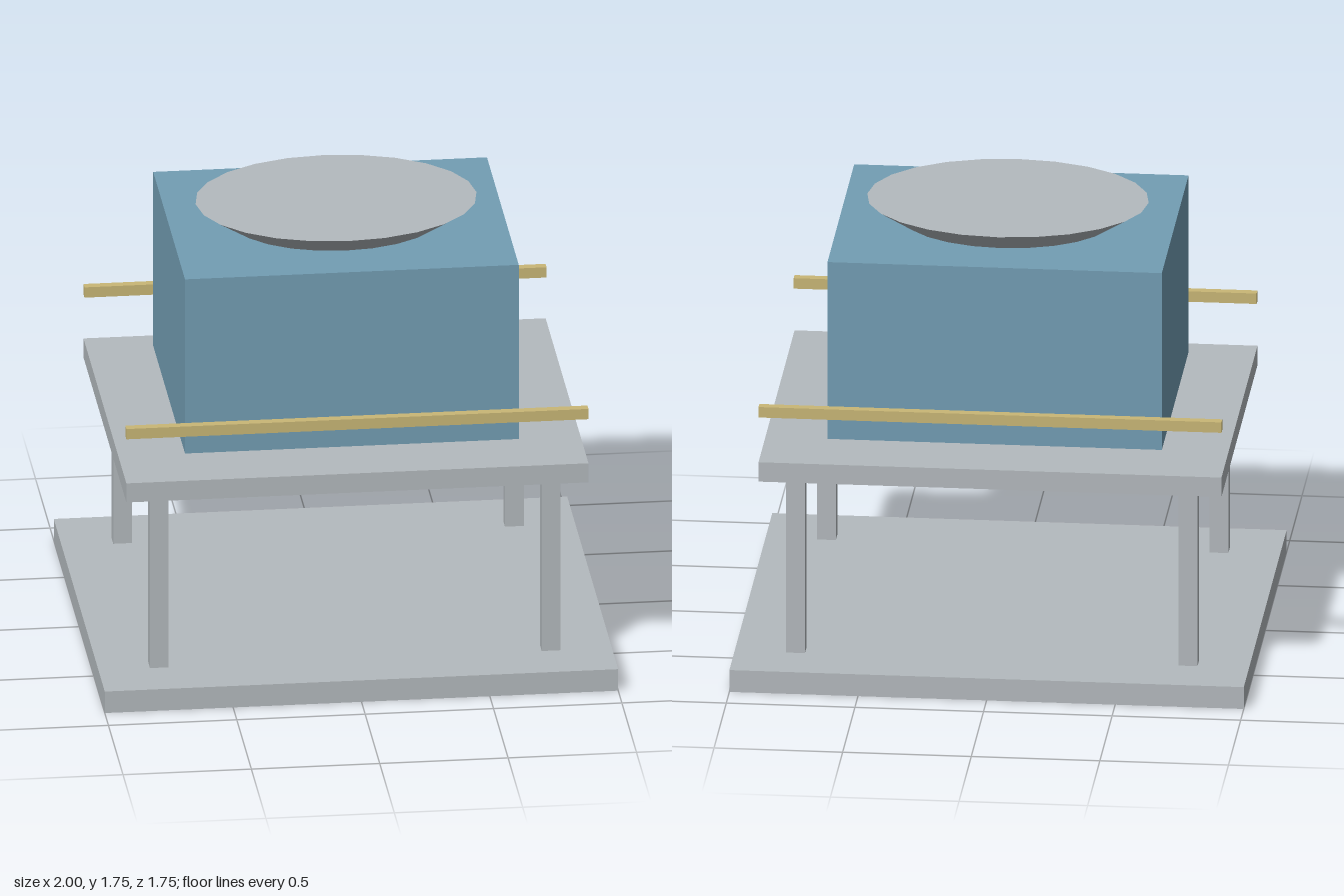
import * as THREE from 'three';

export function createModel() {
  const model = new THREE.Group();
  model.name = 'standWithTank';

  const material = (name, color) => {
    const m = new THREE.MeshStandardMaterial({ color });
    m.name = name;
    return m;
  };
  const grey = material('paleGrey', 0xb4babe);
  const blue = material('steelBlue', 0x739eb4);
  const sand = material('sandYellow', 0xc9b776);

  // Box given by its width, depth, bottom and top heights, and centre in x and z
  const addBox = (name, mat, width, depth, bottom, top, x = 0, z = 0) => {
    const mesh = new THREE.Mesh(new THREE.BoxGeometry(width, top - bottom, depth), mat);
    mesh.position.set(x, (bottom + top) / 2, z);
    mesh.name = name;
    model.add(mesh);
  };

  // Stand: base slab, four legs, upper platform
  addBox('baseSlab', grey, 2, 1.75, 0, 0.09);
  addBox('platform', grey, 1.8, 1.47, 0.82, 0.9);
  for (const x of [-0.763, 0.763]) {
    for (const z of [-0.63, 0.63]) {
      addBox('leg', grey, 0.073, 0.06, 0.09, 0.82, x, z);
    }
  }

  // Main body floating just above the platform
  addBox('body', blue, 1.3, 1.09, 0.935, 1.665);

  // Rails along the front and back
  for (const z of [-0.718, 0.718]) {
    addBox('rail', sand, 1.8, 0.035, 1.085, 1.128, 0, z);
  }

  // Oval flared cap, wider at the top
  const capGeometry = new THREE.CylinderGeometry(0.547, 0.41, 0.085, 24).toNonIndexed();
  capGeometry.scale(1, 1, 0.797);
  capGeometry.computeVertexNormals();
  const cap = new THREE.Mesh(capGeometry, grey);
  cap.position.y = 1.7075;
  cap.name = 'flaredCap';
  model.add(cap);

  return model;
}
